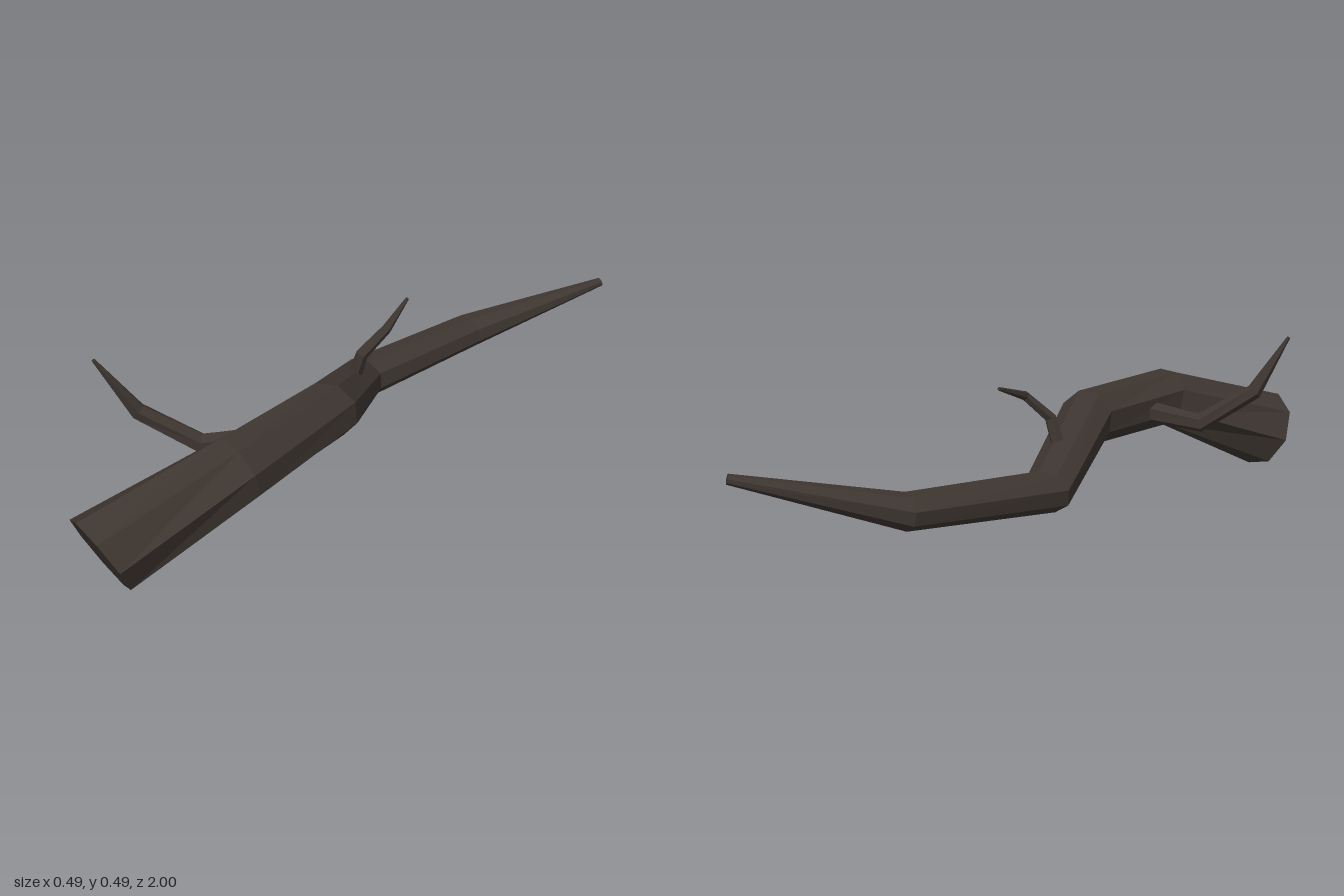
import * as THREE from 'three';

const bark = new THREE.MeshStandardMaterial({ color: 0x3d3530, flatShading: true, roughness: 0.9 });

// Skin a list of equal-sized rings (each counter-clockwise seen from the first end) and cap both ends
function skin(name, rings) {
  const n = rings[0].length;
  const pos = [];
  const tri = (a, b, c) => [a, b, c].forEach((p) => pos.push(p.x, p.y, p.z));
  for (let i = 0; i < rings.length - 1; i++) {
    for (let j = 0; j < n; j++) {
      const k = (j + 1) % n;
      const a = rings[i][j], b = rings[i][k], c = rings[i + 1][k], d = rings[i + 1][j];
      tri(a, d, c);
      tri(a, c, b);
    }
  }
  const first = rings[0], last = rings[rings.length - 1];
  for (let j = 1; j < n - 1; j++) {
    tri(first[0], first[j], first[j + 1]);
    tri(last[0], last[j + 1], last[j]);
  }
  const geo = new THREE.BufferGeometry();
  geo.setAttribute('position', new THREE.Float32BufferAttribute(pos, 3));
  geo.computeVertexNormals();
  const mesh = new THREE.Mesh(geo, bark);
  mesh.name = name;
  return mesh;
}

// Elliptical ring facing +z, sheared so that z changes with x (slopeX) and y (slopeY)
function limbRing([x, y, z, rx, ry, twist, slopeX, slopeY], sides = 8) {
  return Array.from({ length: sides }, (_, j) => {
    const t = THREE.MathUtils.degToRad(twist) + (j / sides) * Math.PI * 2;
    const dx = rx * Math.cos(t), dy = ry * Math.sin(t);
    return new THREE.Vector3(x + dx, y + dy, z + slopeX * dx + slopeY * dy);
  });
}

// Tapered twig: round rings square to the averaged direction at each bend
function twig(name, points, radii, sides = 6) {
  const pts = points.map((p) => new THREE.Vector3(...p));
  const rings = pts.map((p, i) => {
    const dir = new THREE.Vector3();
    if (i > 0) dir.add(p.clone().sub(pts[i - 1]).normalize());
    if (i < pts.length - 1) dir.add(pts[i + 1].clone().sub(p).normalize());
    dir.normalize().negate();
    const u = new THREE.Vector3(0.5, 0, 1).cross(dir).normalize();
    const v = dir.clone().cross(u);
    return Array.from({ length: sides }, (_, j) => {
      const t = (j / sides) * Math.PI * 2;
      return p.clone().addScaledVector(u, radii[i] * Math.cos(t)).addScaledVector(v, radii[i] * Math.sin(t));
    });
  });
  return skin(name, rings);
}

export function createModel() {
  const group = new THREE.Group();
  group.name = 'branch';

  // Main limb, from the thick cut end to the thin tip
  const limb = [
    [0.024, 0.112, 0.94, 0.12, 0.112, 7, 0.2, 0.5],
    [0.145, 0.258, 0.58, 0.106, 0.086, 20, 0.2, 0.3],
    [0.1, 0.26, 0.195, 0.08, 0.084, 26, -0.4, 0.05],
    [-0.115, 0.147, -0.16, 0.072, 0.06, 30, -0.28, -0.14],
    [-0.06, 0.172, -0.605, 0.062, 0.05, 30, 0.2, 0.15],
    [0.168, 0.287, -0.988, 0.015, 0.013, 30, 0.5, 0.3],
  ];
  group.add(skin('mainLimb', limb.map((r) => limbRing(r))));

  // Longer twig on the side of the thick half
  group.add(twig('sideTwig',
    [[0.07, 0.25, 0.42], [-0.07, 0.22, 0.515], [-0.186, 0.32, 0.63], [-0.24, 0.485, 0.72]],
    [0.034, 0.029, 0.024, 0.005]));

  // Short hooked twig on top
  group.add(twig('topTwig',
    [[-0.03, 0.2, -0.025], [0.008, 0.315, -0.035], [0.042, 0.383, -0.1], [0.01, 0.428, -0.225]],
    [0.022, 0.018, 0.014, 0.005]));

  return group;
}
